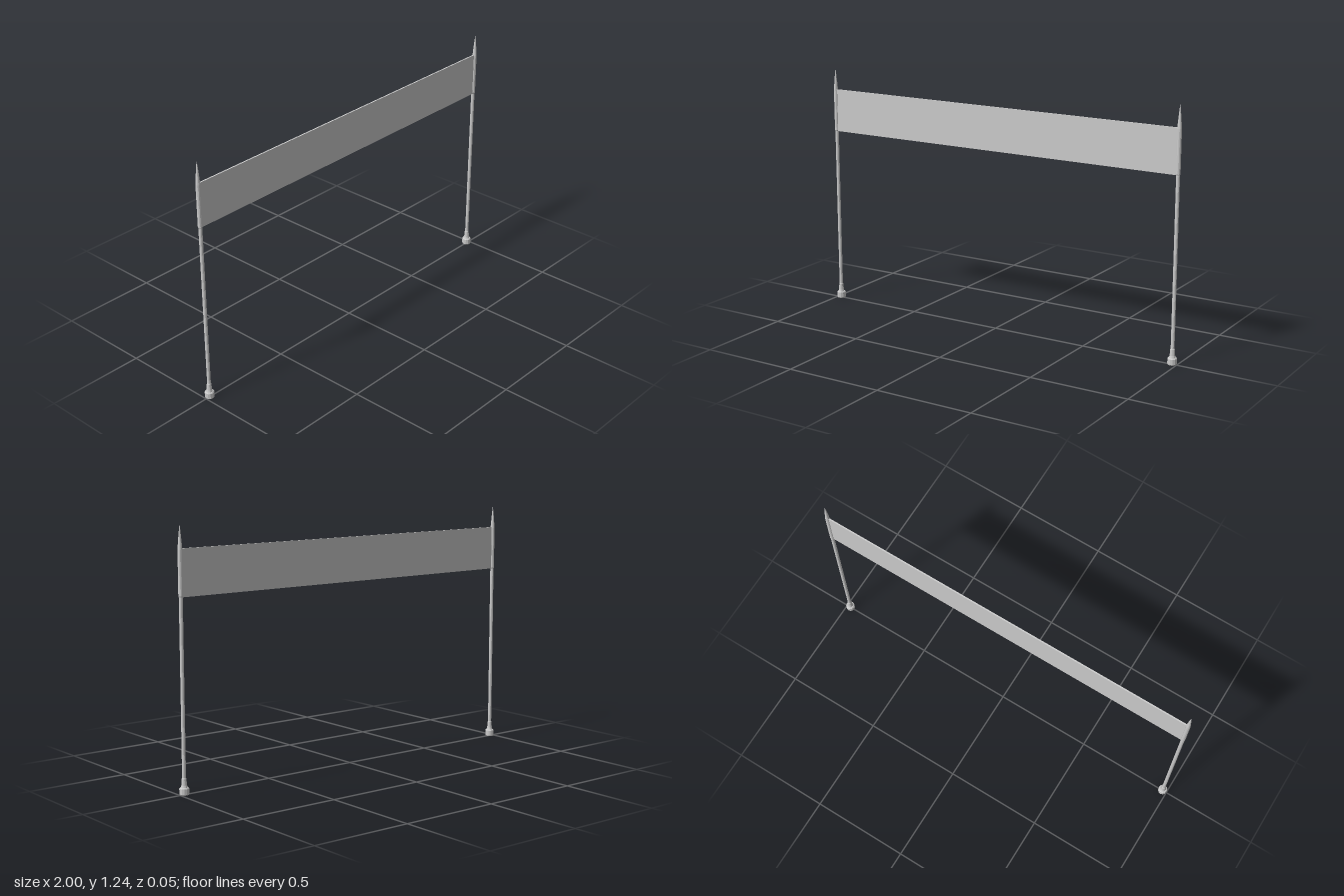
import * as THREE from 'three';

const material = new THREE.MeshStandardMaterial({ color: 0xcccccc, flatShading: true, side: THREE.DoubleSide });
const POST_X = 0.977;

// Round part turned from [radius, height] pairs
function turned(name, profile) {
  const points = profile.map(([r, y]) => new THREE.Vector2(r, y));
  const mesh = new THREE.Mesh(new THREE.LatheGeometry(points, 12), material);
  mesh.name = name;
  return mesh;
}

function createPost(side) {
  const post = new THREE.Group();
  post.name = side > 0 ? 'leftPost' : 'rightPost';
  post.add(
    // Weighted foot with a bevelled rim
    turned('foot', [[0, 0], [0.021, 0], [0.023, 0.004], [0.023, 0.03], [0.019, 0.035], [0, 0.035]]),
    // Pole, flared where it enters the foot
    turned('pole', [[0.016, 0.034], [0.013, 0.045], [0.011, 0.075], [0.009, 0.08], [0.009, 0.92]]),
    // Sleeve holding the end of the banner
    turned('sleeve', [[0.009, 0.91], [0.011, 0.915], [0.011, 1.125]]),
    // Pointed finial
    turned('finial', [[0.011, 1.125], [0.009, 1.15], [0.006, 1.185], [0.003, 1.215], [0, 1.24]])
  );
  post.position.x = side * POST_X;
  return post;
}

export function createModel() {
  const model = new THREE.Group();
  model.name = 'bannerGate';
  for (const side of [-1, 1]) model.add(createPost(side));

  // Flat banner stretched between the posts
  const banner = new THREE.Mesh(new THREE.BoxGeometry(2 * POST_X, 0.22, 0.007), material);
  banner.name = 'banner';
  banner.position.y = 1.02;
  model.add(banner);
  return model;
}
